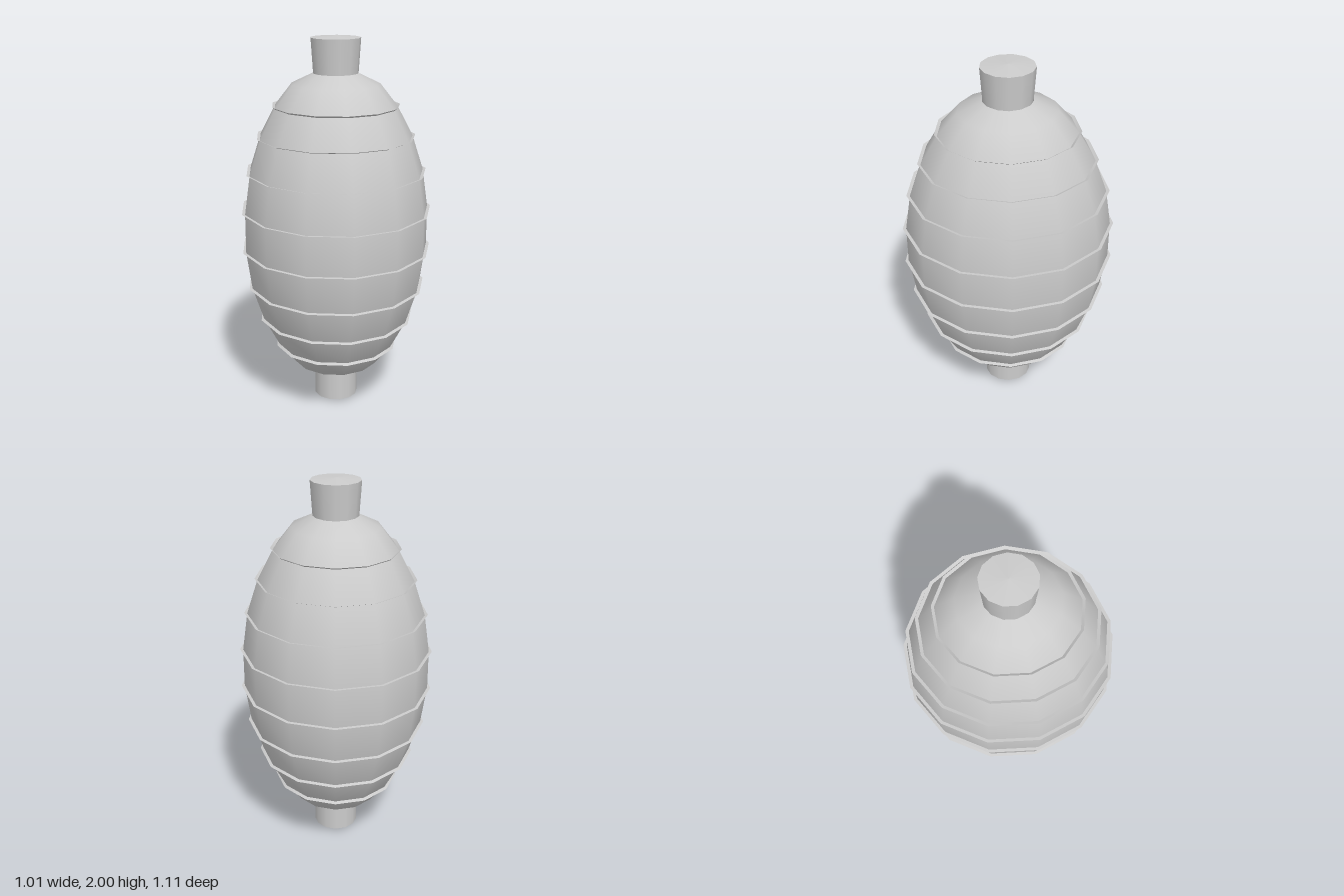
import * as THREE from 'three';

const SIDES = 13;
const CENTER_Y = 0.99;
const material = new THREE.MeshStandardMaterial({ color: 0xcccccc, side: THREE.DoubleSide });

// Revolved part with a corner on +x, widened in z to an oval plan
function revolve(name, profile, depth) {
  const points = profile.map(([r, y]) => new THREE.Vector2(r, y));
  const mesh = new THREE.Mesh(new THREE.LatheGeometry(points, SIDES, Math.PI / 2), material);
  mesh.name = name;
  mesh.scale.z = depth;
  mesh.position.x = -0.0075;
  return mesh;
}

export function createModel() {
  const group = new THREE.Group();
  group.name = 'paperLantern';

  // Upper half of the shade: radius and height above the middle
  const half = [[0.494, 0.105], [0.465, 0.308], [0.406, 0.49], [0.324, 0.647], [0.232, 0.765], [0.117, 0.82]];
  const lower = half.map(([r, h]) => [r, CENTER_Y - h]).reverse();
  const upper = half.map(([r, h]) => [r, CENTER_Y + h]);
  group.add(revolve('shade', [...lower, ...upper], 1.1));

  // Thin hoops standing out from the shade along its normal
  const ribs = new THREE.Group();
  ribs.name = 'ribs';
  for (const sign of [-1, 1]) {
    for (const [r, h] of half.slice(0, 4)) {
      const n = new THREE.Vector2(r / 0.494 ** 2, h / 0.82 ** 2).setLength(0.016);
      const inner = [r - n.x * 0.3, CENTER_Y + sign * (h - n.y * 0.3)];
      const outer = [r + n.x, CENTER_Y + sign * (h + n.y)];
      ribs.add(revolve('rib', sign > 0 ? [outer, inner] : [inner, outer], 1.1));
    }
  }
  group.add(ribs);

  // Necks at both ends, closed by slightly domed lids
  group.add(revolve('topNeck', [[0.118, 1.8], [0.131, 1.99]], 1.06));
  group.add(revolve('topLid', [[0.131, 1.99], [0, 2]], 1.06));
  group.add(revolve('bottomNeck', [[0.119, 0.014], [0.117, 0.18]], 1.08));
  group.add(revolve('bottomLid', [[0, 0], [0.119, 0.014]], 1.08));

  return group;
}
